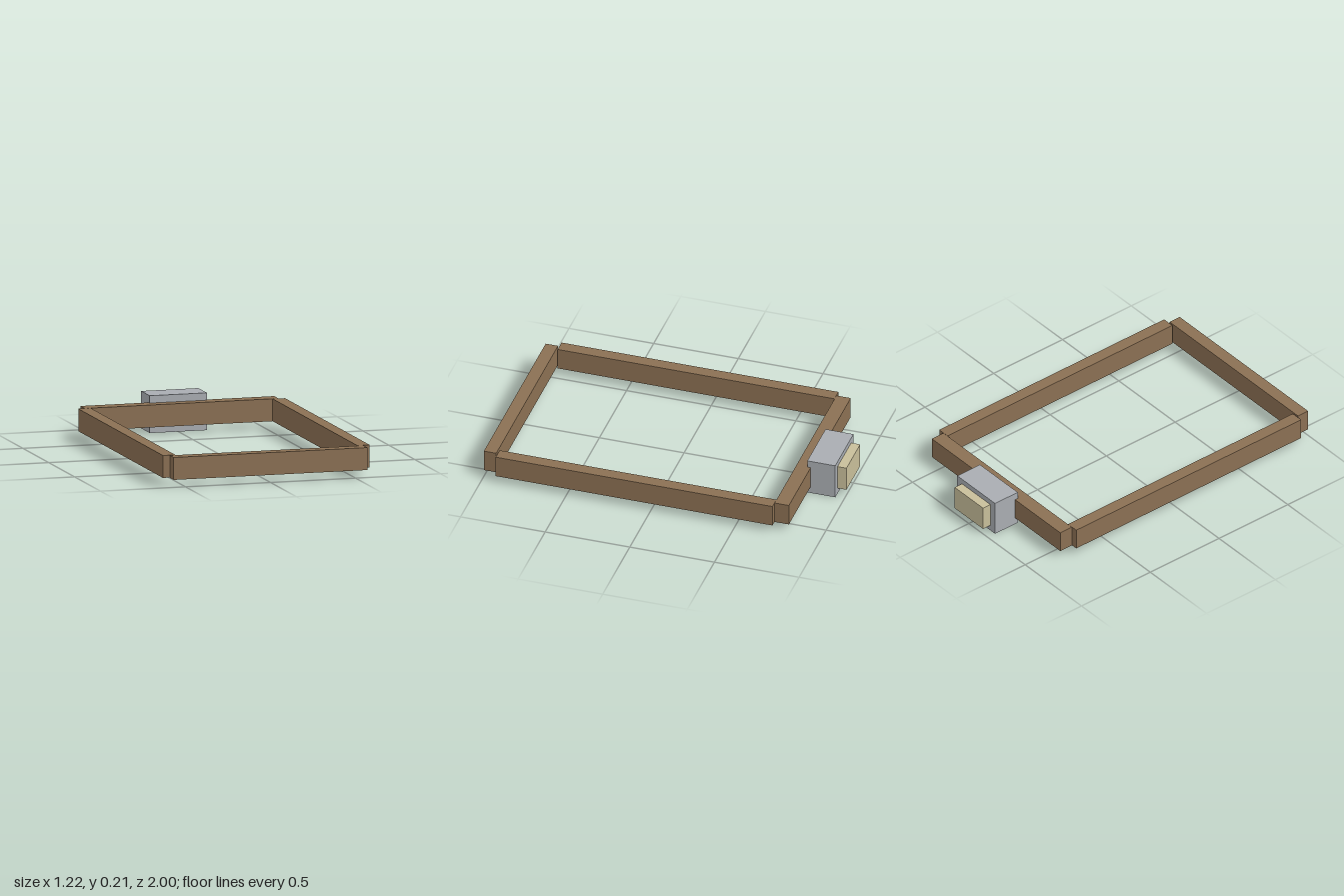
import * as THREE from 'three';

export function createModel() {
  const model = new THREE.Group();
  const material = (name, color) => {
    const m = new THREE.MeshStandardMaterial({ color });
    m.name = name;
    return m;
  };
  const wood = material('brown wood', 0x8b7053);
  const metal = material('grey metal', 0xa9adb2);
  const cream = material('cream', 0xc8be9a);

  // Box given by its extents on each axis
  const box = (name, mat, [x0, x1], [y0, y1], [z0, z1]) => {
    const mesh = new THREE.Mesh(new THREE.BoxGeometry(x1 - x0, y1 - y0, z1 - z0), mat);
    mesh.position.set((x0 + x1) / 2, (y0 + y1) / 2, (z0 + z1) / 2);
    mesh.name = name;
    model.add(mesh);
  };

  // Rectangular frame
  const railY = [0.043, 0.171];
  box('frontRail', wood, [-0.57, 0.57], railY, [0.927, 1]);
  box('backRail', wood, [-0.57, 0.57], railY, [-0.802, -0.718]);
  box('leftRail', wood, [0.535, 0.608], railY, [-0.717, 0.918]);
  box('rightRail', wood, [-0.608, -0.535], railY, [-0.717, 0.918]);

  // Block mounted on the back rail, with its end pad
  box('mountBlock', metal, [-0.168, 0.168], [0, 0.213], [-0.947, -0.782]);
  box('endPad', cream, [-0.126, 0.126], [0.035, 0.181], [-1, -0.94]);

  return model;
}
